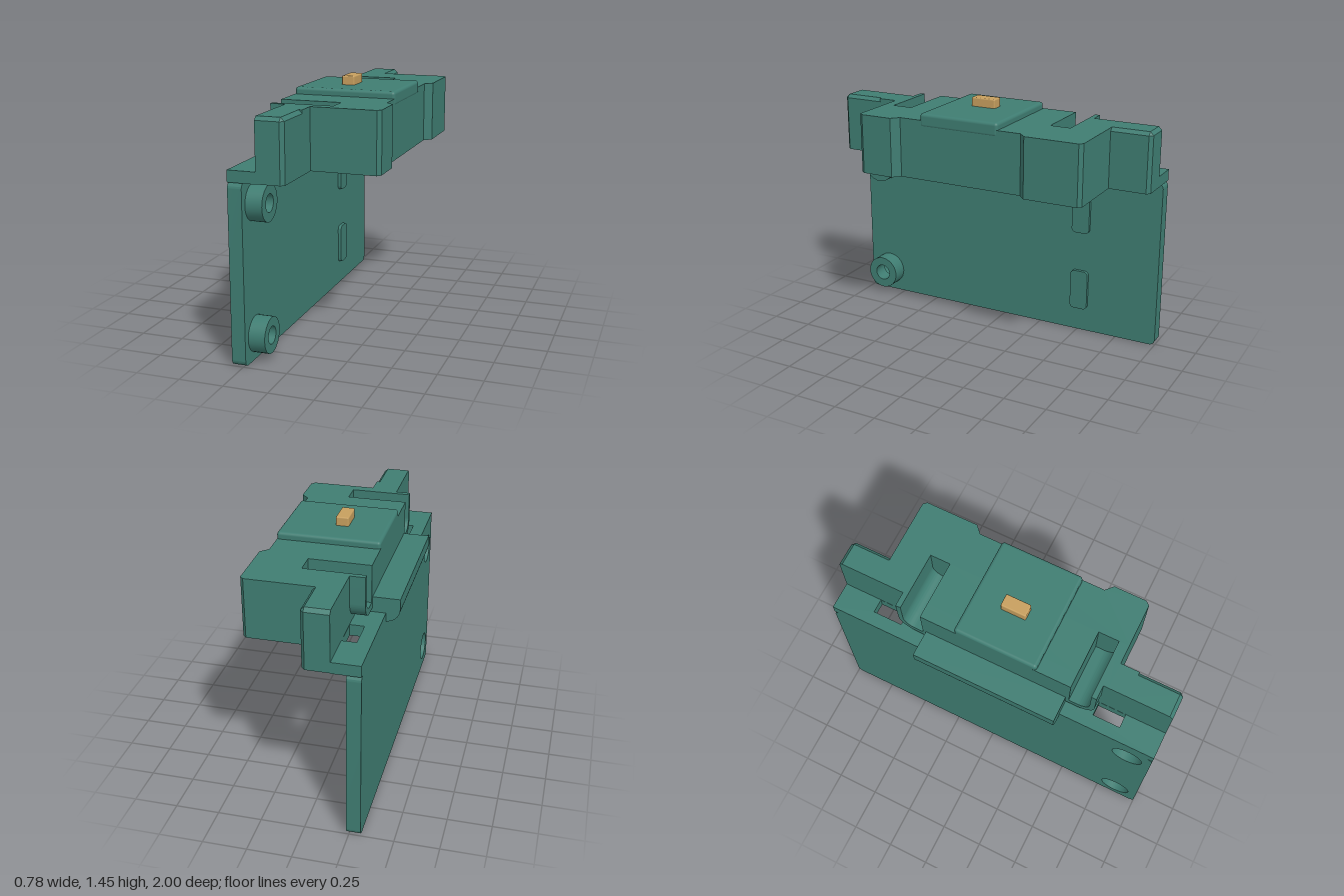
import * as THREE from 'three';
import { toCreasedNormals } from 'three/addons/utils/BufferGeometryUtils.js';
import { ConvexGeometry } from 'three/addons/geometries/ConvexGeometry.js';
import { RoundedBoxGeometry } from 'three/addons/geometries/RoundedBoxGeometry.js';

const poly = (pts) => new THREE.Shape(pts.map(([x, y]) => new THREE.Vector2(x, y)));
const rect = (x0, x1, y0, y1) => poly([[x0, y0], [x1, y0], [x1, y1], [x0, y1]]);

function roundRect(x0, x1, y0, y1, r) {
  const s = new THREE.Shape();
  s.absarc(x1 - r, y0 + r, r, -Math.PI / 2, 0);
  s.absarc(x1 - r, y1 - r, r, 0, Math.PI / 2);
  s.absarc(x0 + r, y1 - r, r, Math.PI / 2, Math.PI);
  s.absarc(x0 + r, y0 + r, r, Math.PI, Math.PI * 1.5);
  return s;
}

function circle(u, v, r) {
  const s = new THREE.Shape();
  s.absarc(u, v, r, 0, Math.PI * 2);
  return s;
}

const extrude = (shape, depth) =>
  new THREE.ExtrudeGeometry(shape, { depth, bevelEnabled: false, curveSegments: 14 });
const crease = (g) => toCreasedNormals(g, 0.6);
// shape drawn in (-z, y), swept along x
const alongX = (shape, x0, x1) =>
  crease(extrude(shape, x1 - x0).rotateY(Math.PI / 2).translate(x0, 0, 0));
// shape drawn in (x, -z), swept up y
const alongY = (shape, y0, y1) =>
  crease(extrude(shape, y1 - y0).rotateX(-Math.PI / 2).translate(0, y0, 0));

// Block section with two open-topped channels whose outer lower corners are rounded
function channelSection(u0, u1, bottom, outerR) {
  const top = 1.36, floor = 1.14, r = 0.07, a = 0.45, b = 0.57;
  const s = new THREE.Shape();
  s.moveTo(u0, top);
  s.lineTo(u0, bottom + outerR);
  if (outerR) s.absarc(u0 + outerR, bottom + outerR, outerR, Math.PI, Math.PI * 1.5);
  s.lineTo(u1 - outerR, bottom);
  if (outerR) s.absarc(u1 - outerR, bottom + outerR, outerR, -Math.PI / 2, 0);
  s.lineTo(u1, top);
  s.lineTo(b, top);
  s.lineTo(b, floor + r);
  s.absarc(b - r, floor + r, r, 0, -Math.PI / 2, true);
  s.lineTo(a, floor);
  s.lineTo(a, top);
  s.lineTo(-a, top);
  s.lineTo(-a, floor);
  s.lineTo(-b + r, floor);
  s.absarc(-b + r, floor + r, r, -Math.PI / 2, -Math.PI, true);
  s.lineTo(-b, top);
  s.closePath();
  return s;
}

export function createModel() {
  const group = new THREE.Group();
  const green = new THREE.MeshStandardMaterial({ color: 0x3f7d72 });
  green.name = 'green';
  const tan = new THREE.MeshStandardMaterial({ color: 0xc79f5e });
  tan.name = 'tan';
  const add = (name, geometry, material = green) => {
    const mesh = new THREE.Mesh(geometry, material);
    mesh.name = name;
    group.add(mesh);
  };

  // Upright plate with two counterbored bosses and two shallow pads
  const plate = roundRect(-1, 1, 0, 1.01, 0.035);
  const bossHeights = [0.145, 0.88];
  bossHeights.forEach((y) => plate.holes.push(circle(-0.86, y, 0.09)));
  add('plate', alongX(plate, -0.315, -0.235));
  for (const y of bossHeights) {
    const boss = circle(-0.86, y, 0.102);
    boss.holes.push(circle(-0.86, y, 0.05));
    add('boss', alongX(boss, -0.235, -0.14));
  }
  for (const y of [0.145, 0.635]) {
    add('platePad', alongX(roundRect(0.455, 0.565, y, y + 0.245, 0.025), -0.235, -0.215));
  }

  // Thin flange joining plate and housing, with two through slots
  const flange = rect(-0.315, -0.155, -1, 1);
  flange.holes.push(rect(-0.237, -0.156, 0.6, 0.775), rect(-0.237, -0.156, -0.76, -0.6));
  add('flange', alongY(flange, 1.01, 1.075));

  // Rear lip with rounded lower edge
  const lip = new THREE.Shape();
  lip.moveTo(-0.235, 1.165);
  lip.lineTo(-0.393, 1.165);
  lip.lineTo(-0.393, 1.105);
  lip.absarc(-0.313, 1.105, 0.08, Math.PI, Math.PI * 1.5);
  lip.lineTo(-0.235, 1.025);
  lip.closePath();
  add('rearLip', crease(extrude(lip, 0.86).translate(0, 0, -0.43)));
  add('lipWeb', alongY(rect(-0.24, -0.155, -0.43, 0.43), 1.075, 1.1));

  // Housing: rounded rear section, channelled middle, notched front
  add('housingRear', alongX(channelSection(-0.6, 0.6, 1.1, 0.1), -0.24, -0.155));
  add('housingMiddle', alongX(channelSection(-0.63, 0.76, 1.012, 0), -0.155, 0.11));
  add('housingFront', alongY(poly([
    [0.11, -0.63], [0.37, -0.63], [0.39, -0.605], [0.39, -0.415], [0.347, -0.375],
    [0.347, 0.385], [0.39, 0.425], [0.39, 0.74], [0.37, 0.76], [0.11, 0.76],
  ]), 1.012, 1.36));

  // End tabs with chamfered outer edges
  add('tabBridge', alongY(rect(-0.155, 0, -0.74, -0.63), 1.012, 1.36));
  for (const [side, inner] of [[1, 0.74], [-1, 0.76]]) {
    const pts = [];
    for (const y of [1.012, 1.34]) {
      for (const [x, z] of [[-0.155, inner], [0, inner], [0, 0.98], [-0.02, 1], [-0.155, 1]]) {
        pts.push(new THREE.Vector3(x, y, side * z));
      }
    }
    for (const [x, z] of [[-0.155, inner], [-0.02, inner], [-0.02, 0.98], [-0.155, 0.98]]) {
      pts.push(new THREE.Vector3(x, 1.36, side * z));
    }
    add('endTab', new ConvexGeometry(pts));
  }

  // Raised top pad and its button
  add('topPad', new RoundedBoxGeometry(0.59, 0.08, 0.49, 3, 0.018).translate(0.055, 1.36, 0));
  add('button', new RoundedBoxGeometry(0.075, 0.07, 0.15, 2, 0.008).translate(0.018, 1.417, 0), tan);

  return group;
}
